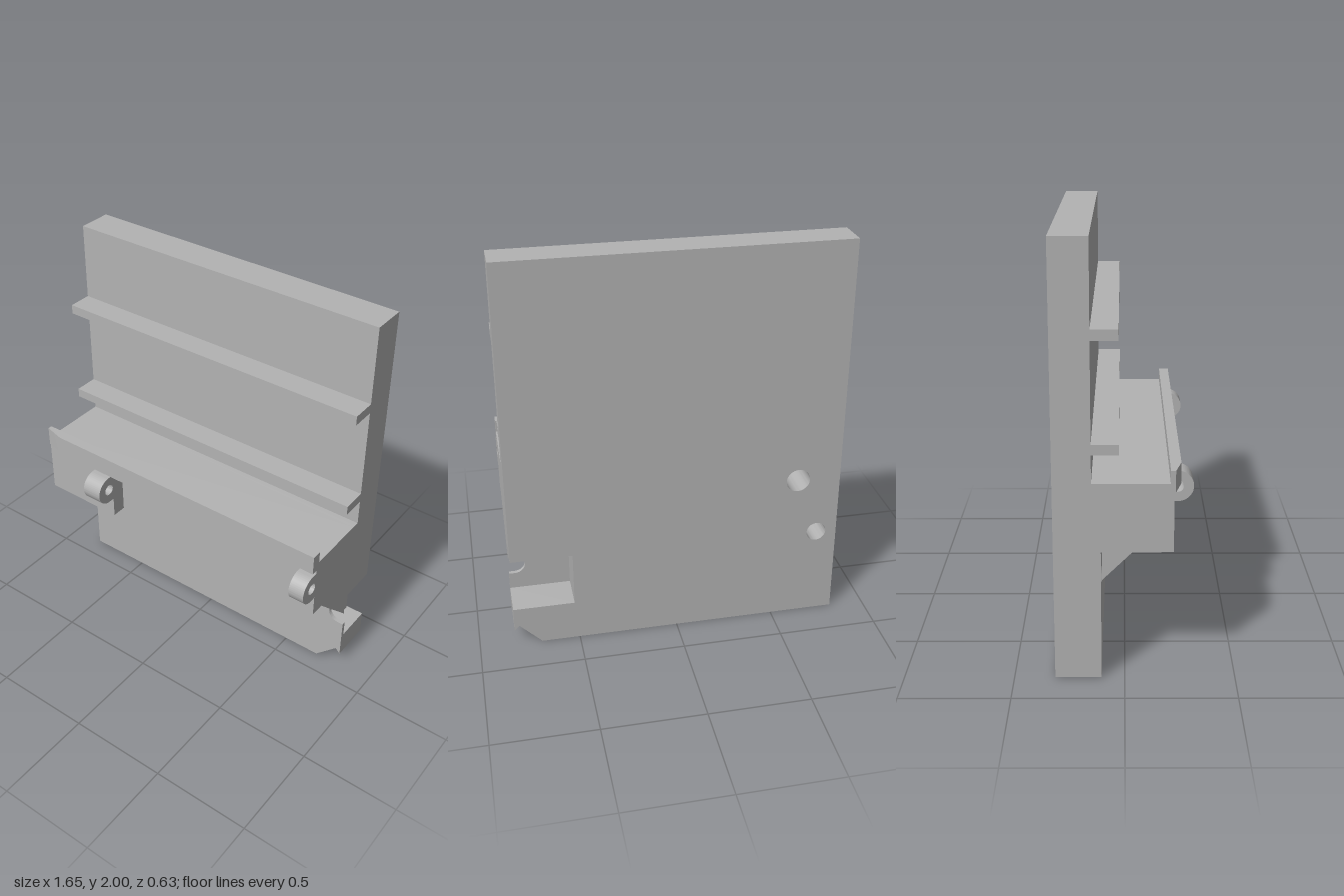
import * as THREE from 'three';
import { toCreasedNormals } from 'three/addons/utils/BufferGeometryUtils.js';

const W = 0.825;                                  // half width
const BACK = -0.315, WALL = -0.125, FRONT = -0.105; // plate layers in z
const FACE = 0.215, RECESS = 0.14, DECK = 0.94;     // shelf front, recess, shelf top

export function createModel() {
  const group = new THREE.Group();
  const grey = new THREE.MeshStandardMaterial({ color: 0xb3b3b3 });
  grey.name = 'grey';

  const add = (name, geometry) => {
    const mesh = new THREE.Mesh(geometry, grey);
    mesh.name = name;
    group.add(mesh);
  };
  const box = (name, x0, x1, y0, y1, z0, z1) => {
    const g = new THREE.BoxGeometry(x1 - x0, y1 - y0, z1 - z0);
    add(name, g.translate((x0 + x1) / 2, (y0 + y1) / 2, (z0 + z1) / 2));
  };
  const polygon = pts => new THREE.Shape(pts.map(p => new THREE.Vector2(...p)));
  const circle = (x, y, r) => new THREE.Path().absarc(x, y, r, 0, Math.PI * 2, true);
  const extrude = (shape, depth) => toCreasedNormals(
    new THREE.ExtrudeGeometry(shape, { depth, bevelEnabled: false, curveSegments: 24 }), 0.6);
  // Profiles drawn as (-z, y) and swept along x
  const sweepX = (name, shape, x0, x1) =>
    add(name, extrude(shape, x1 - x0).rotateY(Math.PI / 2).translate(x0, 0, 0));

  // Upper plate and its two ribs
  box('upperPlate', -W, W, DECK, 2, BACK, -0.145);
  for (const y of [1.07, 1.57]) box('rib', -W, W, y, y + 0.047, -0.145, -0.025);

  // Lower plate, back layer: clipped corner, square side notch, two holes
  const corner = [[-W, 0], [0.69, 0], [0.8, 0.11], [W, 0.085]];
  const backLayer = polygon([...corner, [W, 0.21], [0.52, 0.21], [0.52, 0.49],
    [W, 0.49], [W, DECK], [-W, DECK]]);
  backLayer.holes.push(circle(-0.72, 0.47, 0.05), circle(-0.61, 0.78, 0.06));
  add('lowerPlateBack', extrude(backLayer, WALL - BACK).translate(0, 0, BACK));

  // Lower plate, thin front layer: round-ended slot and through hole
  const frontLayer = polygon(corner);
  frontLayer.lineTo(W, 0.297);
  frontLayer.lineTo(0.795, 0.297);
  frontLayer.absarc(0.795, 0.35, 0.053, -Math.PI / 2, Math.PI / 2, true);
  frontLayer.lineTo(W, 0.403);
  frontLayer.lineTo(W, DECK);
  frontLayer.lineTo(-W, DECK);
  frontLayer.holes.push(circle(-0.72, 0.47, 0.05));
  add('lowerPlateFront', extrude(frontLayer, FRONT - WALL).translate(0, 0, WALL));

  // Shelf: sloped bracket, square left end, front strip and end blocks
  sweepX('shelfBracket', polygon([[-RECESS, DECK], [-RECESS, 0.62], [-FRONT, 0.375],
    [-FRONT, DECK]]), -0.6, W);
  box('shelfEnd', -W, -0.6, 0.62, DECK, FRONT, RECESS);
  box('shelfStrip', -W, W, 0.89, DECK, RECESS, FACE);
  box('leftBlock', 0.745, W, 0.62, 0.89, RECESS, FACE);
  box('rightBlock', -W, -0.4, 0.62, 0.89, RECESS, FACE);

  // Raised lip with one tapered end
  const lip = polygon([[-W, 0.198], [W, 0.198], [W, 0.248], [-0.72, 0.248], [-W, 0.22]]);
  add('shelfLip', extrude(lip, 0.1).rotateX(Math.PI / 2).translate(0, 1, 0));

  // Hinge knuckles with bores
  const cz = 0.245, cy = 0.805, r = 0.075;
  const knuckle = polygon([[-FACE, cy - r], [-FACE, cy + r], [-cz, cy + r]]);
  knuckle.absarc(-cz, cy, r, Math.PI / 2, Math.PI * 1.5, false);
  knuckle.holes.push(circle(-cz, cy, 0.029));
  sweepX('rightKnuckle', knuckle, -0.505, -0.4);
  sweepX('leftKnuckle', knuckle, 0.745, W);

  return group;
}
